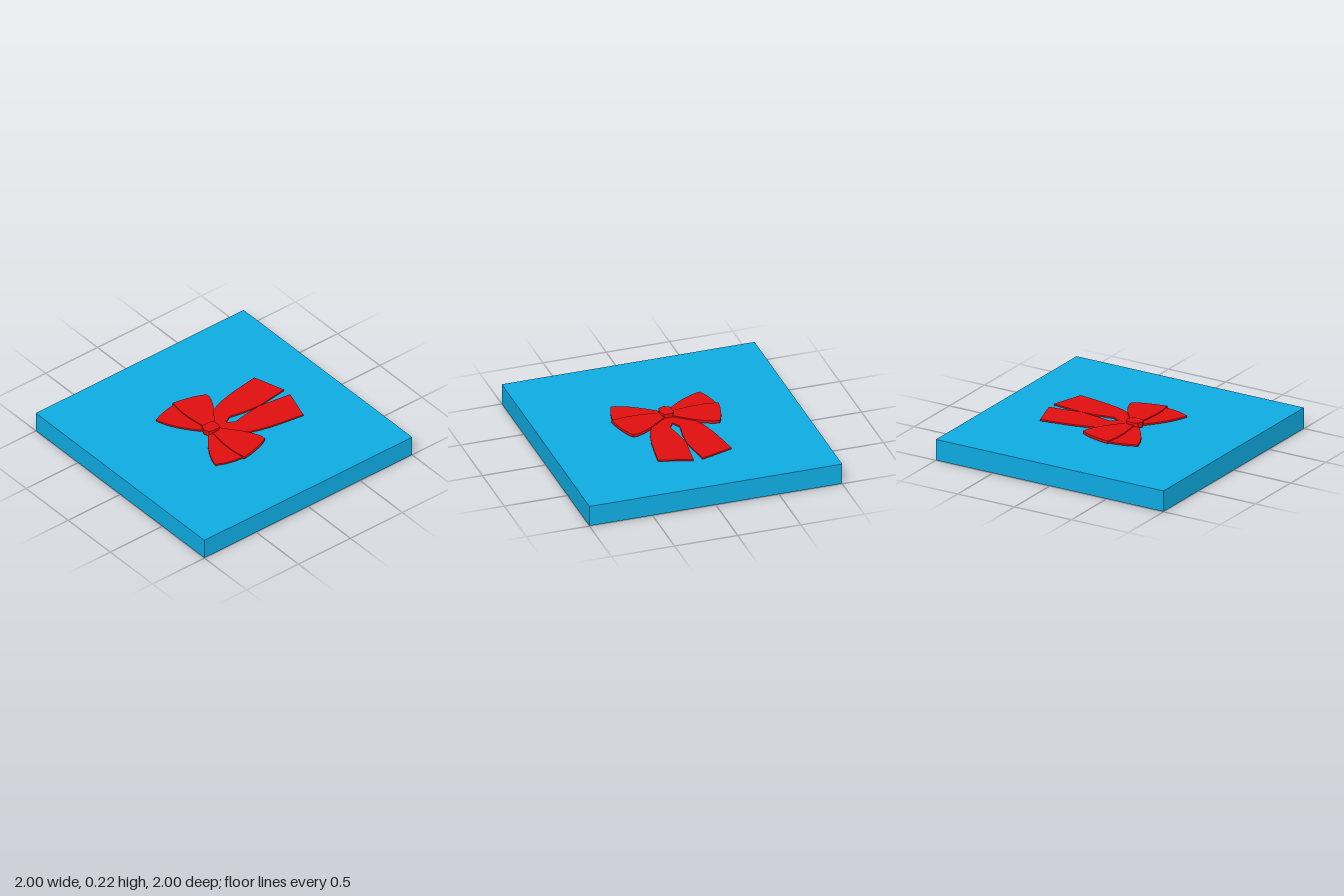
import * as THREE from 'three';

const blue = new THREE.MeshStandardMaterial({ color: 0x0eaae1 });
const red = new THREE.MeshStandardMaterial({ color: 0xe00e0e });
const grey = new THREE.MeshStandardMaterial({ color: 0xcccccc });

const SLAB_TOP = 0.168;
const BOW_BASE = 0.177;
const BOW_Z = 0.003; // axis the bow is mirrored about

// Flat plate cut from an outline of [x, z] points, from the bow base up to top
function plate(name, outline, top, side = 1) {
  const shape = new THREE.Shape(outline.map(([x, z]) => new THREE.Vector2(x, z * side)));
  const geometry = new THREE.ExtrudeGeometry(shape, { depth: top - BOW_BASE, bevelEnabled: false });
  geometry.rotateX(Math.PI / 2);
  const mesh = new THREE.Mesh(geometry, red);
  mesh.name = name;
  mesh.position.set(0, top, BOW_Z);
  return mesh;
}

export function createModel() {
  const model = new THREE.Group();
  model.name = 'tileWithBow';

  // Square slab with a plain underside
  const slab = new THREE.Mesh(new THREE.BoxGeometry(2, SLAB_TOP - 0.002, 2), blue);
  slab.name = 'slab';
  slab.position.y = SLAB_TOP / 2 + 0.001;
  const underside = new THREE.Mesh(new THREE.PlaneGeometry(2, 2).rotateX(Math.PI / 2), grey);
  underside.name = 'underside';
  model.add(slab, underside);

  // Half outlines of the bow
  const outerLoop = [
    [-0.15, 0.03], [-0.195, 0.045], [-0.24, 0.10], [-0.28, 0.155], [-0.315, 0.21], [-0.345, 0.27],
    [-0.365, 0.325], [-0.37, 0.353], [-0.29, 0.385], [-0.22, 0.402], [-0.15, 0.41],
  ];
  const innerLoop = [
    [-0.07, 0.03], [-0.145, 0.03], [-0.155, 0.10], [-0.168, 0.21], [-0.168, 0.32], [-0.152, 0.424],
    [-0.07, 0.41], [0.02, 0.386], [0.075, 0.364], [0.113, 0.343], [0.11, 0.303], [0.08, 0.235], [0.04, 0.17],
  ];
  const tail = [
    [-0.12, 0], [-0.07, 0.045], [0.04, 0.174], [0.10, 0.205], [0.15, 0.222], [0.25, 0.248],
    [0.38, 0.27], [0.525, 0.291], [0.605, 0.036], [0.34, 0.001], [0.20, 0.014], [0.08, 0.037], [0.015, 0],
  ];
  for (const [label, side] of [['left', 1], ['right', -1]]) {
    const half = new THREE.Group();
    half.name = label + 'BowHalf';
    half.add(
      plate('outerLoop', outerLoop, 0.19, side),
      plate('innerLoop', innerLoop, 0.199, side),
      plate('tail', tail, 0.189, side),
    );
    model.add(half);
  }

  // Raised knot
  const knot = [
    [-0.195, 0], [-0.18, 0.04], [-0.155, 0.048], [-0.125, 0.051], [-0.095, 0.048], [-0.073, 0.036], [-0.066, 0.003],
    [-0.073, -0.036], [-0.095, -0.048], [-0.125, -0.051], [-0.155, -0.048], [-0.18, -0.04],
  ];
  model.add(plate('knot', knot, 0.22));
  return model;
}
